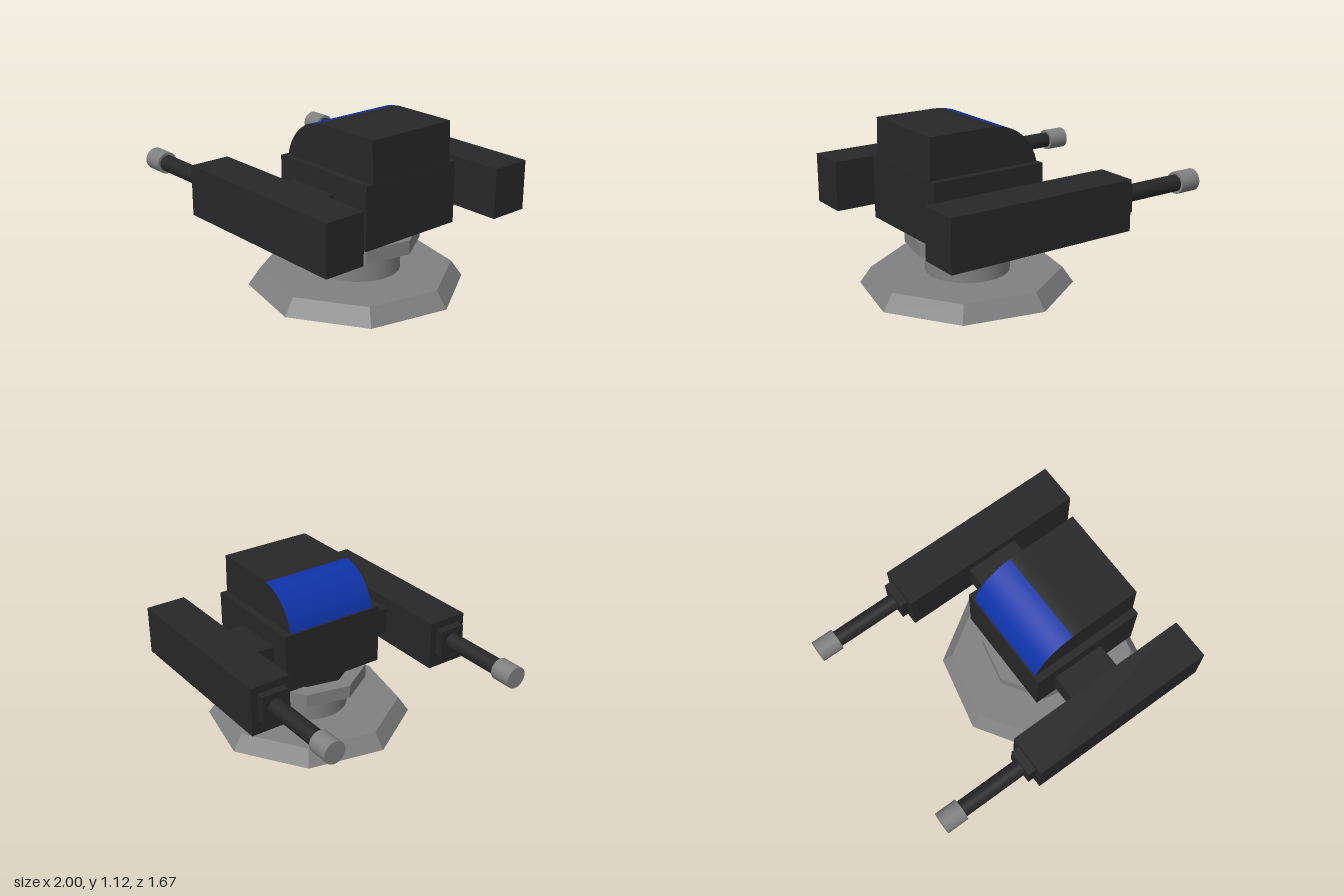
import * as THREE from 'three';
import { toCreasedNormals } from 'three/addons/utils/BufferGeometryUtils.js';

const grey = new THREE.MeshStandardMaterial({ color: 0x808080 });
const greyFlat = new THREE.MeshStandardMaterial({ color: 0x808080, flatShading: true });
const dark = new THREE.MeshStandardMaterial({ color: 0x272727 });
const darkFlat = new THREE.MeshStandardMaterial({ color: 0x272727, flatShading: true });
const blue = new THREE.MeshStandardMaterial({ color: 0x0d33a8 });

const AXIS_X = 0.303, AXIS_Z = 0.01;   // vertical axis of the pedestal
const TWIST = THREE.MathUtils.degToRad(10.2);

function add(parent, name, geometry, material) {
  const mesh = new THREE.Mesh(geometry, material);
  mesh.name = name;
  parent.add(mesh);
  return mesh;
}

// Box given by its low and high corners
function box(parent, name, [x0, y0, z0], [x1, y1, z1], material) {
  const mesh = add(parent, name, new THREE.BoxGeometry(x1 - x0, y1 - y0, z1 - z0), material);
  mesh.position.set((x0 + x1) / 2, (y0 + y1) / 2, (z0 + z1) / 2);
  return mesh;
}

// Upright disc on the pedestal axis
function disc(parent, name, rTop, rBottom, y0, y1, sides, material, z = AXIS_Z) {
  const mesh = add(parent, name, new THREE.CylinderGeometry(rTop, rBottom, y1 - y0, sides), material);
  mesh.position.set(AXIS_X, (y0 + y1) / 2, z);
  mesh.rotation.y = TWIST;
  return mesh;
}

// Round rod lying along x
function rod(parent, name, radius, x0, x1, y, material) {
  const mesh = add(parent, name, new THREE.CylinderGeometry(radius, radius, x1 - x0, 32), material);
  mesh.rotation.z = Math.PI / 2;
  mesh.position.set((x0 + x1) / 2, y, 0);
  return mesh;
}

// Side profile extruded across the width of the canopy
function canopyPart(parent, name, shape, materials) {
  const geometry = new THREE.ExtrudeGeometry(shape, { depth: 0.645, bevelEnabled: false, curveSegments: 20 });
  const mesh = add(parent, name, toCreasedNormals(geometry, 0.5), materials);
  mesh.position.z = -0.32;
}

export function createModel() {
  const model = new THREE.Group();
  model.name = 'turret';

  // Pedestal: octagonal foot, round neck, octagonal ring and collar
  const pedestal = new THREE.Group();
  pedestal.name = 'pedestal';
  model.add(pedestal);
  disc(pedestal, 'foot', 0.63, 0.704, 0, 0.107, 8, greyFlat, 0.022);
  disc(pedestal, 'neck', 0.278, 0.278, 0.107, 0.28, 48, grey);
  disc(pedestal, 'turningRing', 0.407, 0.407, 0.286, 0.38, 8, greyFlat);
  disc(pedestal, 'upperCollar', 0.304, 0.304, 0.382, 0.44, 8, darkFlat);

  // Body and the crossbar that carries the guns
  box(model, 'body', [-0.02, 0.447, -0.37], [0.775, 0.855, 0.375], dark);
  box(model, 'crossbar', [0.12, 0.54, -0.56], [0.485, 0.727, 0.56], dark);

  // Canopy: curved window strip with dark cheeks, then the square rear
  const canopy = new THREE.Group();
  canopy.name = 'canopy';
  model.add(canopy);
  const front = new THREE.Shape();
  front.moveTo(0.27, 0.855);
  front.lineTo(0.27, 1.114);
  front.bezierCurveTo(0.12, 1.095, 0.02, 0.98, -0.008, 0.855);
  canopyPart(canopy, 'window', front, [dark, blue]);
  const rear = new THREE.Shape();
  rear.moveTo(0.27, 0.855);
  rear.lineTo(0.773, 0.855);
  rear.lineTo(0.765, 1.121);
  rear.lineTo(0.36, 1.121);
  rear.quadraticCurveTo(0.31, 1.121, 0.27, 1.114);
  canopyPart(canopy, 'roof', rear, [dark, dark]);

  // Two guns, one on each side, firing toward -x
  for (const side of [1, -1]) {
    const gun = new THREE.Group();
    gun.name = side > 0 ? 'frontGun' : 'rearGun';
    gun.position.z = side * 0.697;
    model.add(gun);
    box(gun, 'housing', [-0.347, 0.47, -0.139], [0.953, 0.802, 0.139], dark);
    box(gun, 'barrelMount', [-0.402, 0.567, -0.091], [-0.347, 0.752, 0.091], dark);
    rod(gun, 'barrel', 0.055, -0.852, -0.402, 0.66, dark);
    rod(gun, 'muzzle', 0.073, -1, -0.852, 0.66, grey);
  }
  return model;
}
